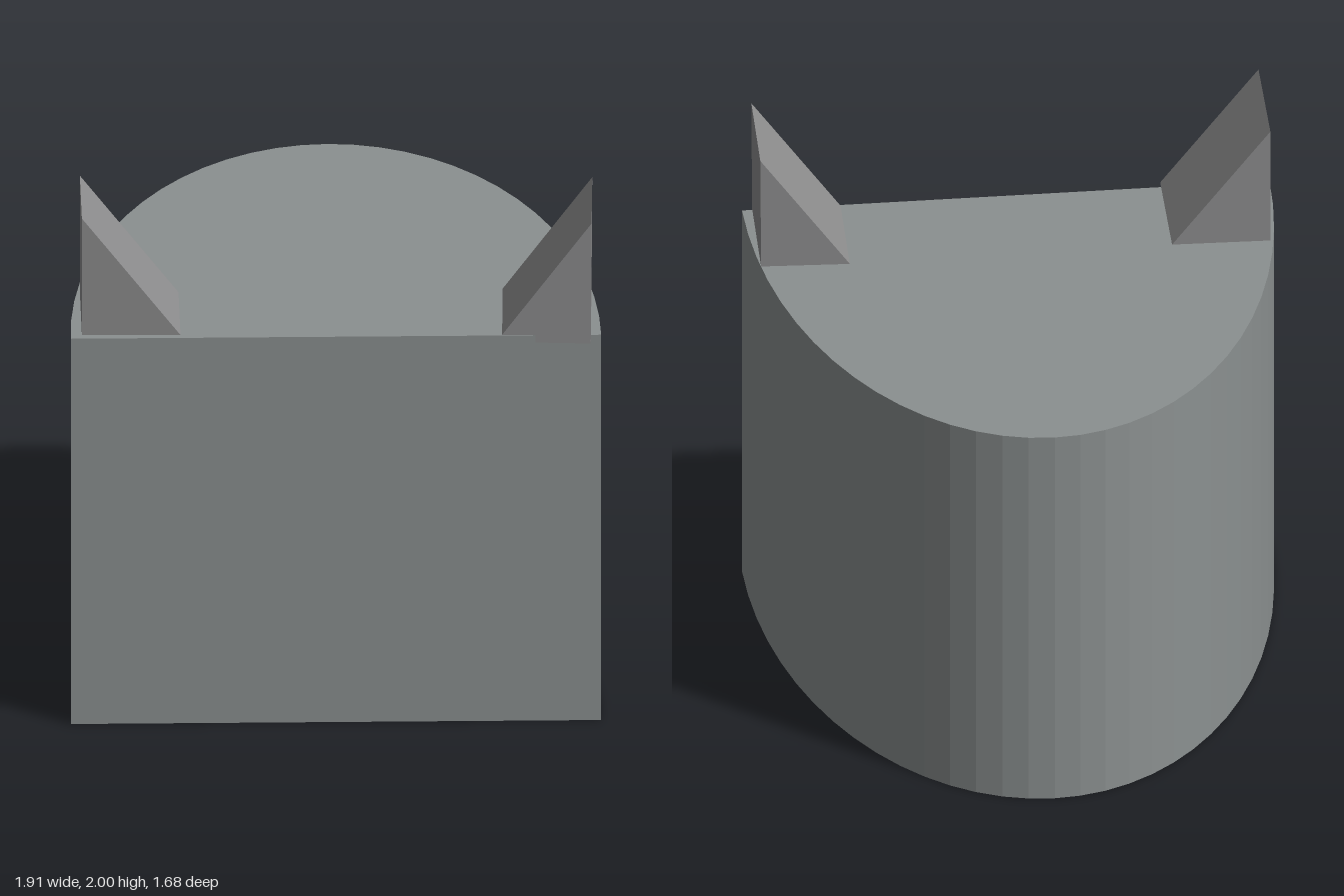
import * as THREE from 'three';

const bodyMaterial = new THREE.MeshStandardMaterial({ color: 0x8b9090, flatShading: true });
const earMaterial = new THREE.MeshStandardMaterial({ color: 0x8d8d8e, flatShading: true });

// Triangular prism: front triangle (counter-clockwise from the front) swept by an offset
function prism(front, offset) {
  const shift = new THREE.Vector3(...offset);
  const f = front.map((p) => new THREE.Vector3(...p));
  const b = f.map((p) => p.clone().add(shift));
  const points = [...f, b[0], b[2], b[1]];
  for (let i = 0; i < 3; i++) {
    const j = (i + 1) % 3;
    points.push(f[i], b[i], b[j], f[i], b[j], f[j]);
  }
  const geometry = new THREE.BufferGeometry().setFromPoints(points);
  geometry.computeVertexNormals();
  return geometry;
}

export function createModel() {
  const model = new THREE.Group();
  const add = (name, geometry, material) => {
    const mesh = new THREE.Mesh(geometry, material);
    mesh.name = name;
    model.add(mesh);
  };

  // Body: half ellipse with a flat front, extruded upwards
  const outline = new THREE.Shape();
  outline.absellipse(0, -0.83, 0.955, 1.67, 0, Math.PI, false, 0);
  outline.closePath();
  const body = new THREE.ExtrudeGeometry(outline, { depth: 1.525, bevelEnabled: false, curveSegments: 16 });
  body.rotateX(-Math.PI / 2);
  add('body', body, bodyMaterial);

  // Ears: slightly tilted wedges at the front corners
  add('rightEar', prism(
    [[-0.915, 1.54, 0.829], [-0.56, 1.54, 0.838], [-0.915, 2, 0.829]],
    [0, -0.015, -0.405]), earMaterial);
  add('leftEar', prism(
    [[0.917, 1.495, 0.84], [0.92, 1.97, 0.84], [0.578, 1.497, 0.823]],
    [0.01, 0.001, -0.4]), earMaterial);

  return model;
}
